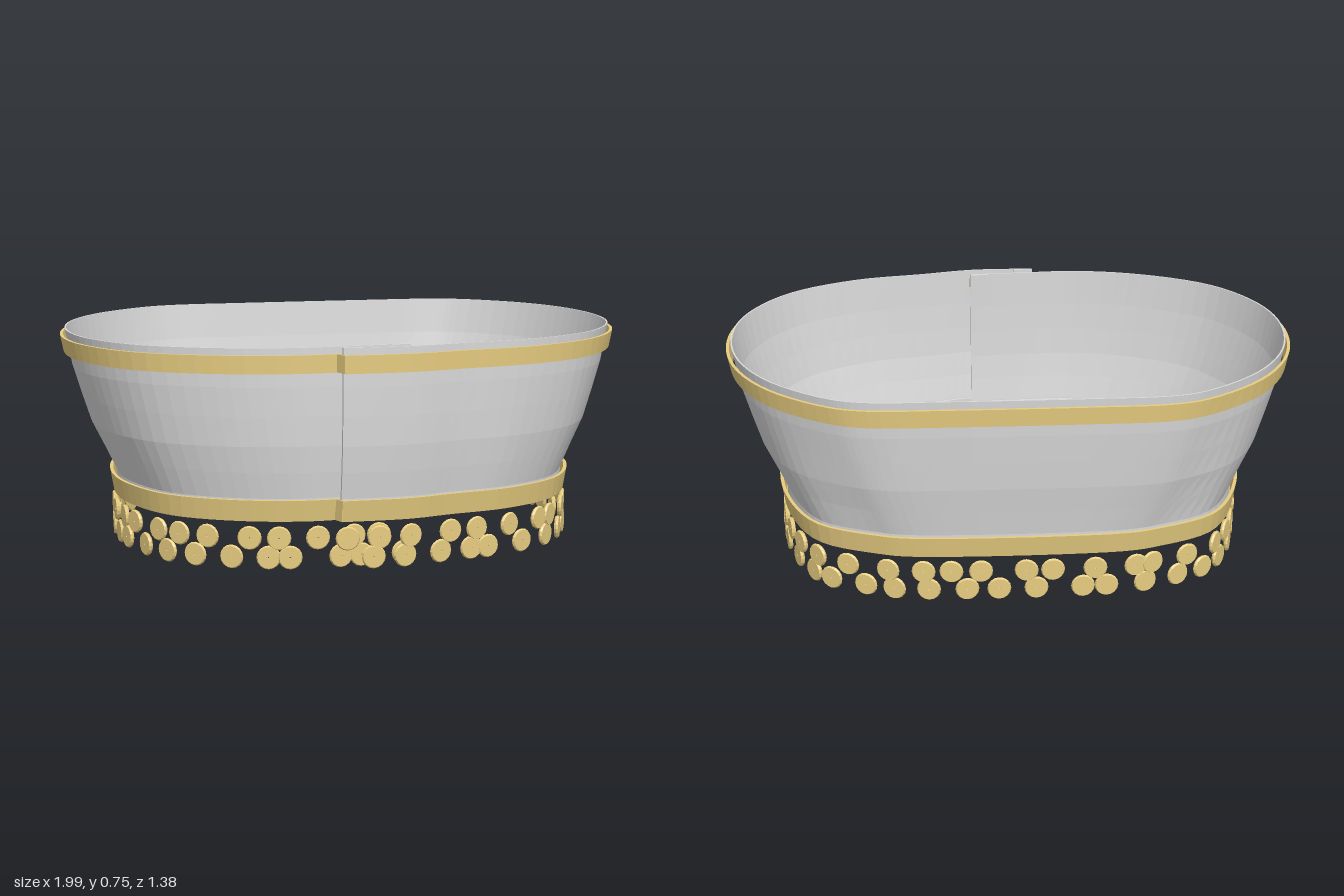
import * as THREE from 'three';

// Plan outline as an open strip: front overlap (outer end) -> left -> back -> right -> tucked inner end
function outline(outerEnd, side, innerEnd) {
  const left = side.map(([x, z]) => [-x, z]).reverse();
  const pts = [...outerEnd, ...side, ...left, ...innerEnd];
  return new THREE.CatmullRomCurve3(pts.map(([x, z]) => new THREE.Vector3(x, 0, z)));
}
const topCurve = outline(
  [[-0.13, 0.667], [0.1, 0.665], [0.29, 0.625]],
  [[0.55, 0.57], [0.79, 0.435], [0.933, 0.225], [0.978, 0], [0.94, -0.25], [0.82, -0.46], [0.62, -0.622], [0.5, -0.66], [0.25, -0.668]],
  [[-0.3, 0.628], [-0.1, 0.622], [0.11, 0.61]]);
const bottomCurve = outline(
  [[-0.13, 0.632], [0.1, 0.628], [0.25, 0.59]],
  [[0.46, 0.54], [0.66, 0.41], [0.77, 0.2], [0.8, 0], [0.765, -0.26], [0.66, -0.47], [0.46, -0.57], [0.38, -0.592], [0.2, -0.605]],
  [[-0.25, 0.595], [-0.1, 0.592], [0.11, 0.585]]);

// How far the wall has flared from the bottom outline to the top one at height y
const flareProfile = [[0, 0], [0.24, 0.02], [0.33, 0.26], [0.42, 0.51], [0.52, 0.69], [0.62, 0.86], [0.75, 1]];
function flare(y) {
  for (let i = 1; i < flareProfile.length; i++) {
    const [y0, f0] = flareProfile[i - 1], [y1, f1] = flareProfile[i];
    if (y <= y1) return f0 + (f1 - f0) * (y - y0) / (y1 - y0);
  }
  return 1;
}

// Point on the wall, pushed outward by off; the front swells a little at mid height
function wallPoint(u, y, off) {
  const f = flare(y);
  const at = (v) => bottomCurve.getPoint(v).lerp(topCurve.getPoint(v), f);
  const p = at(u);
  const t = at(Math.min(1, u + 0.002)).sub(at(Math.max(0, u - 0.002))).normalize();
  const swell = 0.045 * f * (1 - f) * Math.max(0, p.z);
  return new THREE.Vector3(p.x - t.z * off, y, p.z + t.x * off + swell);
}

// Closed strip with thickness; levels are [y, outer offset, inner offset]
function strip(levels, segments, from = 0, to = 1) {
  const n = levels.length;
  const section = [
    ...levels.map(([y, o]) => [y, o]),
    ...levels.map(([y, , i]) => [y, i]).reverse()];
  const m = section.length, pos = [], idx = [];
  for (let s = 0; s <= segments; s++) {
    const u = from + (to - from) * s / segments;
    for (const [y, o] of section) pos.push(...wallPoint(u, y, o).toArray());
  }
  for (let s = 0; s < segments; s++)
    for (let j = 0; j < m; j++) {
      const a = s * m + j, b = s * m + (j + 1) % m, c = b + m, d = a + m;
      idx.push(a, d, c, a, c, b);
    }
  const e = segments * m;
  for (let k = 0; k < n - 1; k++) {
    const a = k, b = k + 1, c = m - 2 - k, d = m - 1 - k;
    idx.push(a, b, c, a, c, d, e + a, e + c, e + b, e + a, e + d, e + c);
  }
  const g = new THREE.BufferGeometry();
  g.setAttribute('position', new THREE.Float32BufferAttribute(pos, 3));
  g.setIndex(idx);
  return faceted(g);
}

function faceted(geometry) {
  const flat = geometry.toNonIndexed();
  flat.computeVertexNormals();
  return flat;
}

function seeded(seed) {
  return () => (seed = (seed * 16807) % 2147483647) / 2147483647;
}

export function createModel() {
  const group = new THREE.Group();
  const grey = new THREE.MeshStandardMaterial({ color: 0xdadada });
  grey.name = 'grey cloth';
  const gold = new THREE.MeshStandardMaterial({ color: 0xeacf82 });
  gold.name = 'gold';
  const add = (name, geometry, material) => {
    const mesh = new THREE.Mesh(geometry, material);
    mesh.name = name;
    group.add(mesh);
    return mesh;
  };

  // Flared wrap
  const wallYs = [0.165, 0.24, 0.33, 0.42, 0.52, 0.62, 0.75];
  add('wrap', strip(wallYs.map((y) => [y, 0, -0.006]), 115), grey);

  // Folded hems on the inside: along the bottom and at both ends
  add('bottomHem', strip([[0.168, -0.004, -0.018], [0.238, -0.004, -0.018]], 115), grey);
  const endHem = wallYs.map((y) => [y, -0.004, -0.014]);
  add('outerEndHem', strip(endHem, 3, 0, 0.013), grey);
  add('innerEndHem', strip(endHem, 3, 0.986, 1), grey);

  // Trim bands, each with a folded tab at the outer end
  add('upperBand', strip([[0.667, 0.02, 0.01], [0.728, 0.021, 0.01]], 115), gold);
  add('lowerBand', strip([[0.165, 0.013, 0.004], [0.238, 0.024, 0.012]], 115), gold);
  for (const [y, height, z] of [[0.698, 0.06, 0.664], [0.202, 0.072, 0.628]]) {
    const tab = add('bandEndTab', new THREE.BoxGeometry(0.006, height, 0.04), gold);
    tab.position.set(-0.137, y, z);
    tab.rotation.y = 0.4;
  }

  // Two staggered rows of hanging discs, each with a bevelled rim and a pin hole
  const profile = [[0.003, -0.007], [0.037, -0.007], [0.041, 0], [0.037, 0.007], [0.003, 0.007], [0.003, -0.007]]
    .map(([r, y]) => new THREE.Vector2(r, y));
  const disc = faceted(new THREE.LatheGeometry(profile, 16).rotateX(Math.PI / 2));
  const rand = seeded(77);
  const fringe = new THREE.Group();
  fringe.name = 'discFringe';
  const count = 42;
  // Even spacing by arc length along the bottom outline
  const spaced = (s) => bottomCurve.getUtoTmapping(THREE.MathUtils.clamp(s, 0.004, 0.996));
  [0.108, 0.042].forEach((y, row) => {
    for (let i = 0; i < count; i++) {
      const u = spaced((i + 0.25 + row * 0.5 + (rand() - 0.5) * 0.5) / count);
      const p = wallPoint(u, 0.1, 0.01);
      const out = wallPoint(u, 0.1, 1).sub(p);
      const mesh = new THREE.Mesh(disc, gold);
      mesh.name = row ? 'lowerDisc' : 'upperDisc';
      mesh.position.set(p.x, y, p.z);
      mesh.rotation.y = Math.atan2(out.x, out.z) + (rand() - 0.5) * 0.2;
      fringe.add(mesh);
    }
  });
  group.add(fringe);
  return group;
}
